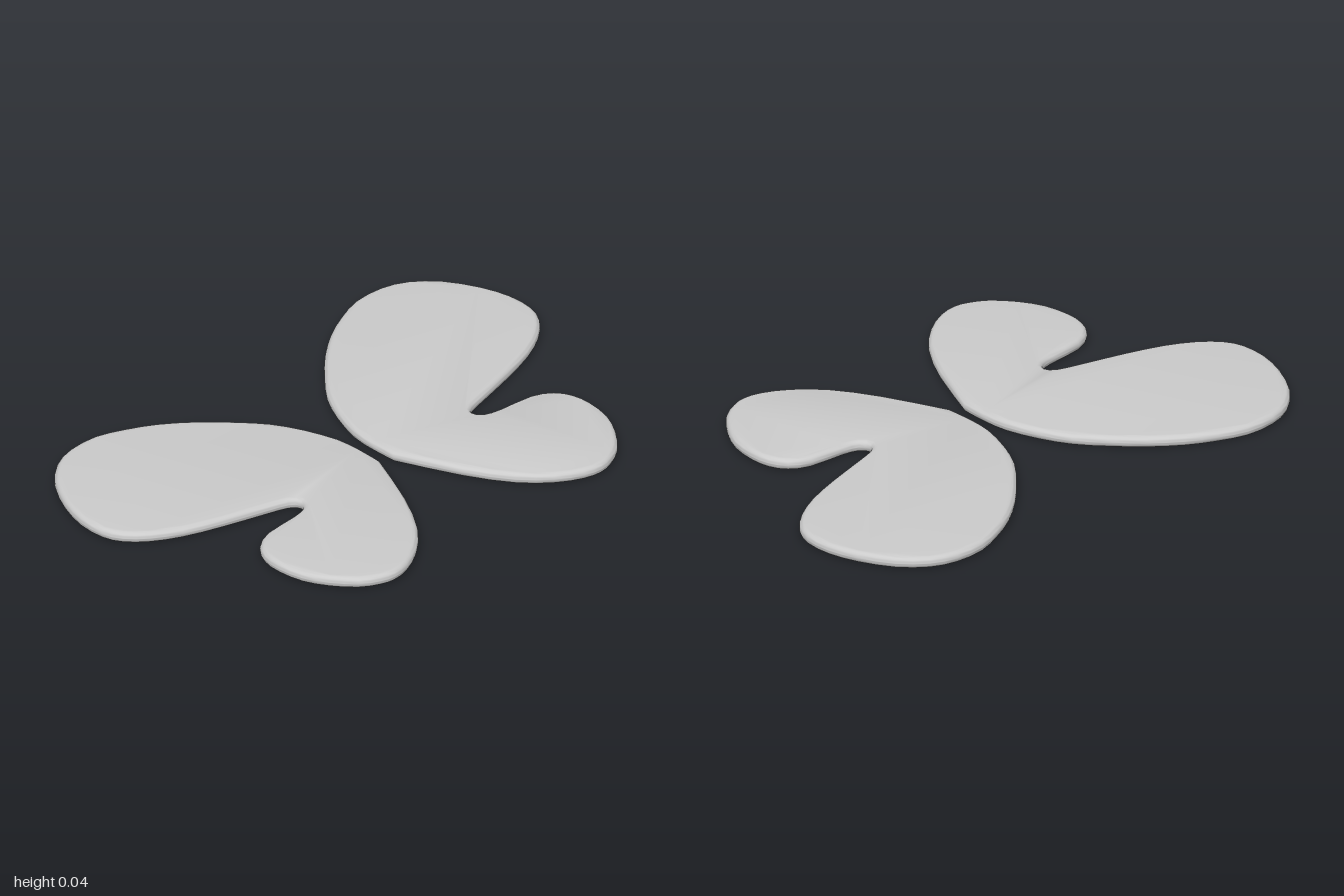
import * as THREE from 'three';
import { toCreasedNormals } from 'three/addons/utils/BufferGeometryUtils.js';

const THICKNESS = 0.042;
const EDGE = 0.02; // radius of the rounded rim

// Wing outline as [x, z], starting and ending at the inner corner
const OUTLINE = [
  [0.03, 0.115], [0.027, 0.02], [0.035, -0.08], [0.075, -0.2], [0.13, -0.305], [0.21, -0.4], [0.3, -0.49],
  [0.4, -0.567], [0.5, -0.62], [0.605, -0.658], [0.72, -0.658], [0.815, -0.623], [0.9, -0.545],
  [0.965, -0.43], [0.998, -0.32], [0.998, -0.22], [0.967, -0.15], [0.9, -0.087], [0.8, -0.032],
  [0.665, 0.015], [0.505, 0.06], [0.425, 0.085], [0.4, 0.113], [0.42, 0.145], [0.48, 0.16],
  [0.61, 0.172], [0.682, 0.21], [0.718, 0.27], [0.726, 0.345], [0.71, 0.44], [0.665, 0.525],
  [0.6, 0.6], [0.535, 0.637], [0.48, 0.65], [0.41, 0.637], [0.32, 0.587], [0.225, 0.495],
  [0.13, 0.34], [0.03, 0.115],
];

function createWing(side, name) {
  const spline = new THREE.SplineCurve(OUTLINE.map(([x, z]) => new THREE.Vector2(side * x, -z)));
  const points = spline.getPoints(2 * (OUTLINE.length - 1));
  points.pop(); // the last point repeats the first
  const geometry = new THREE.ExtrudeGeometry(new THREE.Shape(points), {
    depth: THICKNESS - 2 * EDGE,
    bevelEnabled: true,
    bevelThickness: EDGE,
    bevelSize: EDGE,
    bevelOffset: -EDGE,
    bevelSegments: 5,
  });
  // Lay the plate flat on the ground
  geometry.rotateX(-Math.PI / 2);
  geometry.translate(0, EDGE, 0);
  const wing = new THREE.Mesh(
    toCreasedNormals(geometry, 0.9),
    new THREE.MeshStandardMaterial({ color: 0xcccccc }),
  );
  wing.name = name;
  return wing;
}

export function createModel() {
  const group = new THREE.Group();
  group.name = 'butterflyWings';
  group.add(createWing(1, 'leftWing'), createWing(-1, 'rightWing'));
  return group;
}
